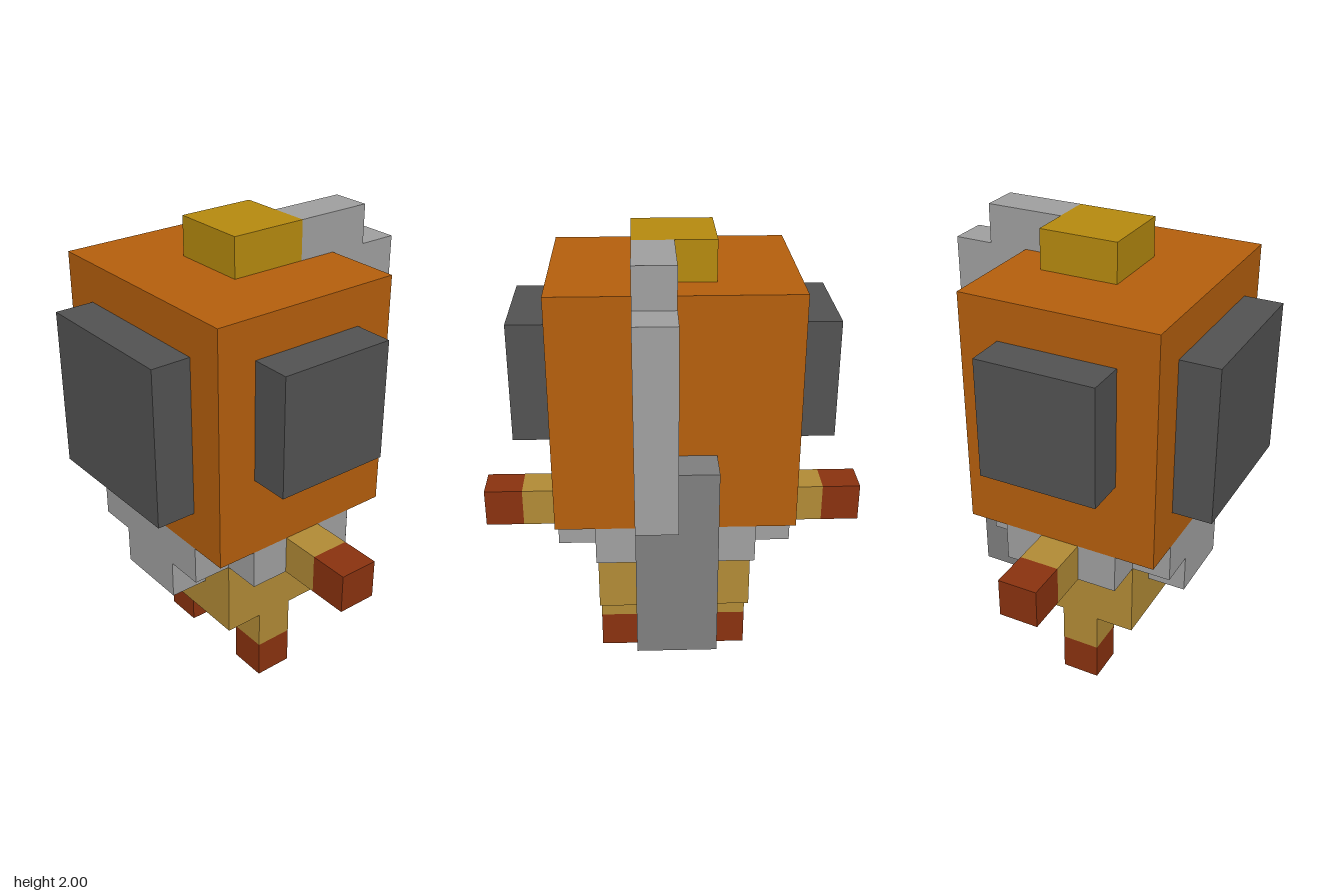
import * as THREE from 'three';

const U = 1 / 6; // one voxel

function mat(name, color) {
  const m = new THREE.MeshStandardMaterial({ color });
  m.name = name;
  return m;
}

export function createModel() {
  const model = new THREE.Group();
  model.name = 'blockDiver';

  const orange = mat('helmet orange', 0xb55f0d);
  const brass = mat('brass yellow', 0xb68a0f);
  const glass = mat('dark glass', 0x525252);
  const lightGrey = mat('light grey', 0xa0a0a0);
  const midGrey = mat('mid grey', 0x7f7f7f);
  const tan = mat('suit tan', 0xb28b36);
  const red = mat('rust red', 0x8a320f);

  // Box given by its voxel bounds
  function box(name, material, x0, x1, y0, y1, z0, z1) {
    const g = new THREE.BoxGeometry((x1 - x0) * U, (y1 - y0) * U, (z1 - z0) * U);
    const mesh = new THREE.Mesh(g, material);
    mesh.position.set((x0 + x1) / 2 * U, (y0 + y1) / 2 * U, (z0 + z1) / 2 * U);
    mesh.name = name;
    model.add(mesh);
  }

  // The same box on both sides
  function pair(name, material, x0, x1, ...rest) {
    box(name + 'Left', material, x0, x1, ...rest);
    box(name + 'Right', material, -x1, -x0, ...rest);
  }

  // Helmet with windows and top cap
  box('helmet', orange, -3, 3, 5, 11, -2, 3);
  box('helmetCap', brass, -1, 1, 11, 12, -1, 1);
  box('frontWindow', glass, -2, 2, 6, 10, 3, 4);
  pair('sideWindow', glass, 3, 4, 7, 10, -1, 2);

  // Collar, split around the arms, with a bib in front
  box('collar', lightGrey, -2, 2, 4, 5, -2, 3);
  pair('collarSideFront', lightGrey, 2, 3, 4, 5, 1, 2);
  pair('collarSideBack', lightGrey, 2, 3, 4, 5, -1, 0);
  box('bib', lightGrey, -1, 1, 3, 4, 2, 3);

  // Body and limbs
  box('torso', tan, -2, 2, 2, 4, -1, 2);
  pair('arm', tan, 2, 4, 4, 5, 0, 1);
  pair('glove', red, 4, 5, 4, 5, 0, 1);
  pair('leg', tan, 1, 2, 1, 2, 0, 1);
  pair('boot', red, 1, 2, 0, 1, 0, 1);

  // Air tank, notched below the collar and helmet
  box('tank', midGrey, -1, 1, 2, 7, -3, -2);
  box('tankBase', midGrey, -1, 1, 2, 4, -2, -1);

  // Air hose from the cap down to the tank
  box('hoseTop', lightGrey, 0, 1, 11, 12, -3, -1);
  box('hoseElbow', lightGrey, 0, 1, 10, 11, -3, -2);
  box('hoseDrop', lightGrey, 0, 1, 6, 11, -4, -3);

  return model;
}
